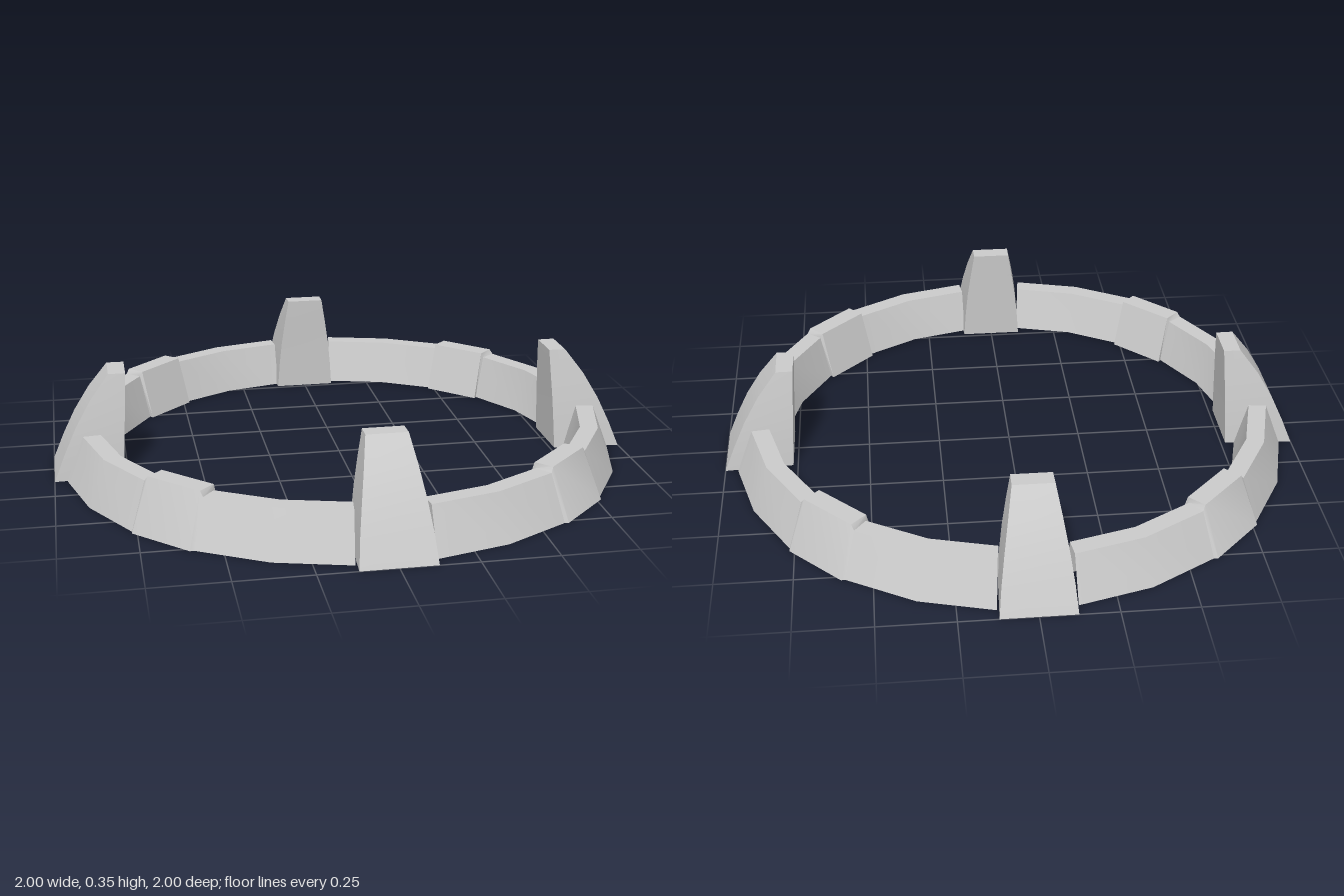
import * as THREE from 'three';
import { toCreasedNormals } from 'three/addons/utils/BufferGeometryUtils.js';

const material = new THREE.MeshStandardMaterial({ color: 0xcccccc, side: THREE.DoubleSide });
const HALF_GAP = Math.PI / 24; // half the angle between neighbouring ring pieces

// Skin over rows of four [x, y, z] points; a closed skin joins the last point to the first
function skin(rows, closed) {
  const index = [];
  for (let r = 0; r < rows.length - 1; r++) {
    for (let i = 0; i < (closed ? 4 : 3); i++) {
      const a = r * 4 + i, b = r * 4 + (i + 1) % 4;
      index.push(a, b, b + 4, a, b + 4, a + 4);
    }
  }
  const geometry = new THREE.BufferGeometry();
  geometry.setAttribute('position', new THREE.Float32BufferAttribute(rows.flat(2), 3));
  geometry.setIndex(index);
  return toCreasedNormals(geometry, 0.5);
}

export function createModel() {
  const model = new THREE.Group();
  const add = (name, geometry, angle) => {
    const mesh = new THREE.Mesh(geometry, material);
    mesh.name = name;
    mesh.rotation.y = angle;
    model.add(mesh);
  };

  // Ring pieces: a channel open below, [radius, y] from outer foot to inner foot
  const profile = [[0.965, 0], [0.906, 0.155], [0.845, 0.155], [0.805, 0]];
  const ringPiece = toCreasedNormals(new THREE.LatheGeometry(
    profile.map(([r, y]) => new THREE.Vector2(r, y)), 2, HALF_GAP, Math.PI / 6), 0.5);

  // Clamp block: slightly raised channel, stepping down to the ring's end at each side
  const ringEnd = (side) => profile.map(([r, y]) =>
    [side * r * Math.sin(HALF_GAP), y, r * Math.cos(HALF_GAP)]);
  const blockEnd = (side) => [
    [side * 0.117, 0, 0.967], [side * 0.105, 0.172, 0.897],
    [side * 0.105, 0.172, 0.83], [side * 0.107, 0, 0.783],
  ];
  const clamp = skin([ringEnd(1), blockEnd(1), blockEnd(-1), ringEnd(-1)], false);

  // Prong: hollow taper with a curved back, [y, inner z, inner half width, outer z, outer half width]
  const levels = [
    [0, 0.766, 0.108, 1.0, 0.122],
    [0.09, 0.761, 0.102, 0.963, 0.113],
    [0.18, 0.756, 0.093, 0.921, 0.1],
    [0.27, 0.75, 0.08, 0.868, 0.084],
    [0.355, 0.745, 0.066, 0.803, 0.067],
    [0.355, 0.774, 0, 0.774, 0],
  ];
  const prong = skin(levels.map(([y, zi, wi, zo, wo]) =>
    [[wo, y, zo], [wi, y, zi], [-wi, y, zi], [-wo, y, zo]]), true);

  for (let i = 0; i < 4; i++) {
    const angle = i * Math.PI / 2;
    add('prong', prong, angle);
    add('clampBlock', clamp, angle + Math.PI / 4);
    add('ringPiece', ringPiece, angle);
    add('ringPiece', ringPiece, angle + Math.PI / 4);
  }
  return model;
}
